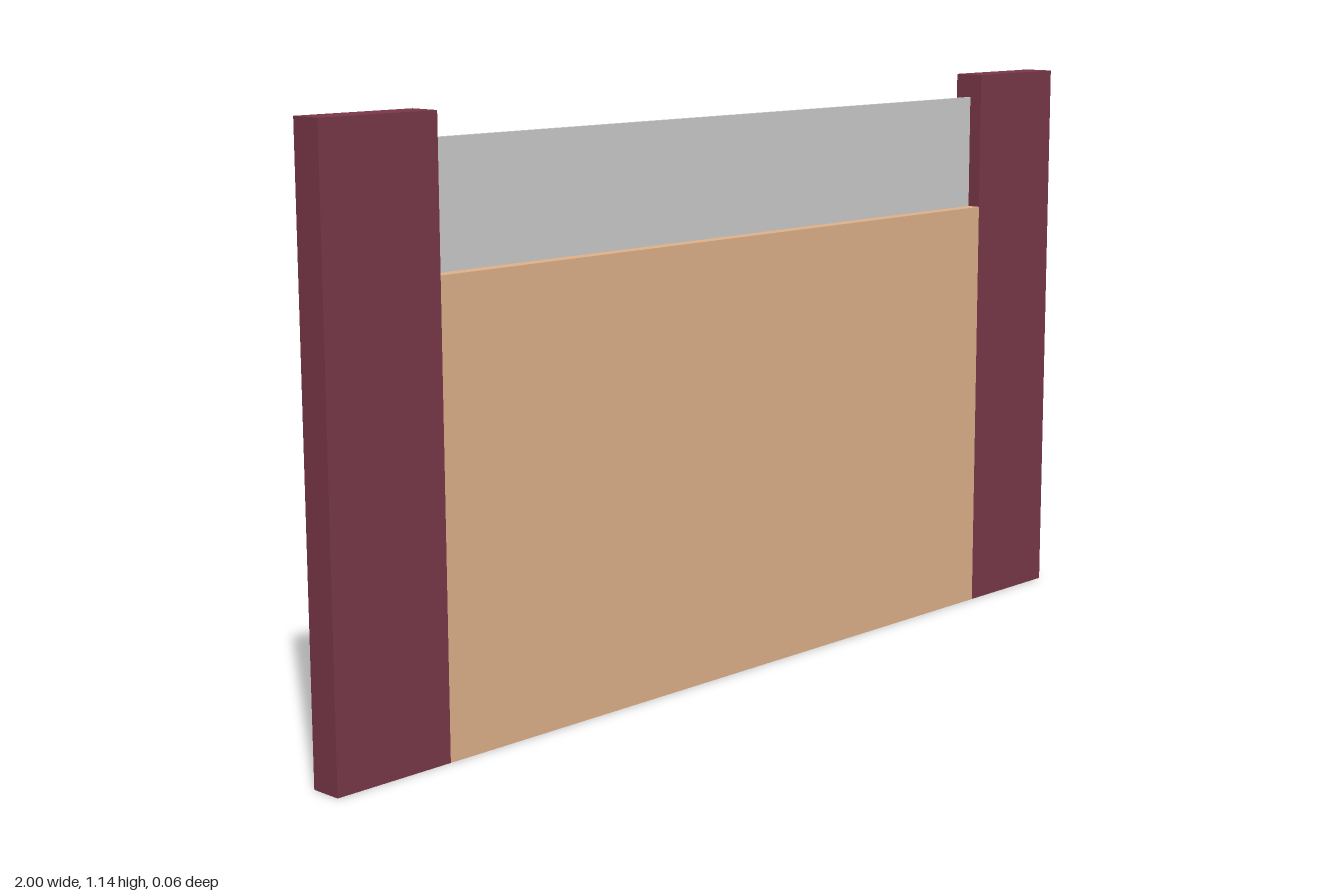
import * as THREE from 'three';

const HEIGHT = 1.145, DEPTH = 0.064, INNER = 1.5, POST = 0.25;
const PANEL_TOP = 0.865, GLASS_TOP = 1.097;

const postMat = new THREE.MeshStandardMaterial({ color: 0x7a3848 });
const panelMat = new THREE.MeshStandardMaterial({ color: 0xdeb28a });
const glassMat = new THREE.MeshStandardMaterial({ color: 0xcccccc });

// Box standing on height y0, centred on x
function block(name, material, width, y0, y1, depth, x = 0) {
  const mesh = new THREE.Mesh(new THREE.BoxGeometry(width, y1 - y0, depth), material);
  mesh.position.set(x, (y0 + y1) / 2, 0);
  mesh.name = name;
  return mesh;
}

export function createModel() {
  const group = new THREE.Group();
  group.name = 'balustrade';

  // End posts
  for (const [name, side] of [['leftPost', 1], ['rightPost', -1]]) {
    group.add(block(name, postMat, POST, 0, HEIGHT, DEPTH, side * (INNER + POST) / 2));
  }

  // Solid infill, flush with the posts
  group.add(block('lowerPanel', panelMat, INNER, 0, PANEL_TOP, DEPTH));

  // Thin pane rising from the middle of the panel
  group.add(block('upperPane', glassMat, INNER, PANEL_TOP, GLASS_TOP, 0.008));

  return group;
}
